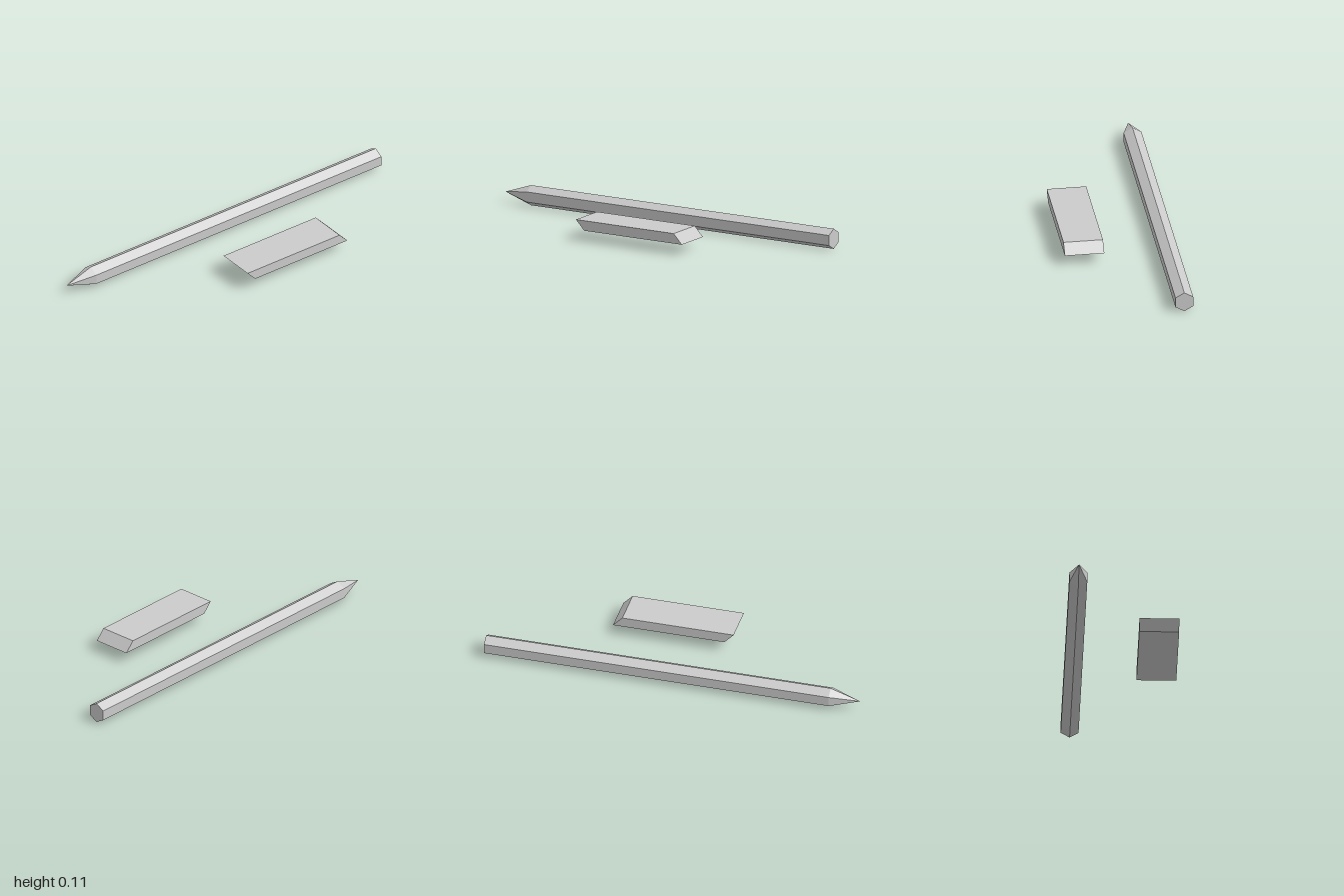
import * as THREE from 'three';

const material = new THREE.MeshStandardMaterial({ color: 0xcccccc, flatShading: true });

function addPart(group, name, geometry, x, y, z) {
  const mesh = new THREE.Mesh(geometry, material);
  mesh.name = name;
  mesh.position.set(x, y, z);
  group.add(mesh);
}

export function createModel() {
  const group = new THREE.Group();
  group.name = 'pencilAndEraser';

  // Hexagonal pencil: flat back end, straight shaft and sharpened tip towards +z
  const radius = 0.0535;
  const profile = [[0, -1], [radius, -1], [radius, 0.843], [0, 1]]
    .map(([r, h]) => new THREE.Vector2(r, h));
  const pencil = new THREE.LatheGeometry(profile, 6).rotateX(Math.PI / 2);
  addPart(group, 'pencil', pencil, -0.2455, radius, 0);

  // Eraser: a block sheared so that its top leans towards +z
  const height = 0.053;
  const eraser = new THREE.BoxGeometry(0.206, height, 0.595);
  const shear = new THREE.Matrix4().set(
    1, 0, 0, 0,
    0, 1, 0, 0,
    0, 0.05 / height, 1, 0,
    0, 0, 0, 1
  );
  eraser.applyMatrix4(shear);
  eraser.computeVertexNormals();
  addPart(group, 'eraser', eraser, 0.1885, 0.082, -0.088);

  return group;
}
